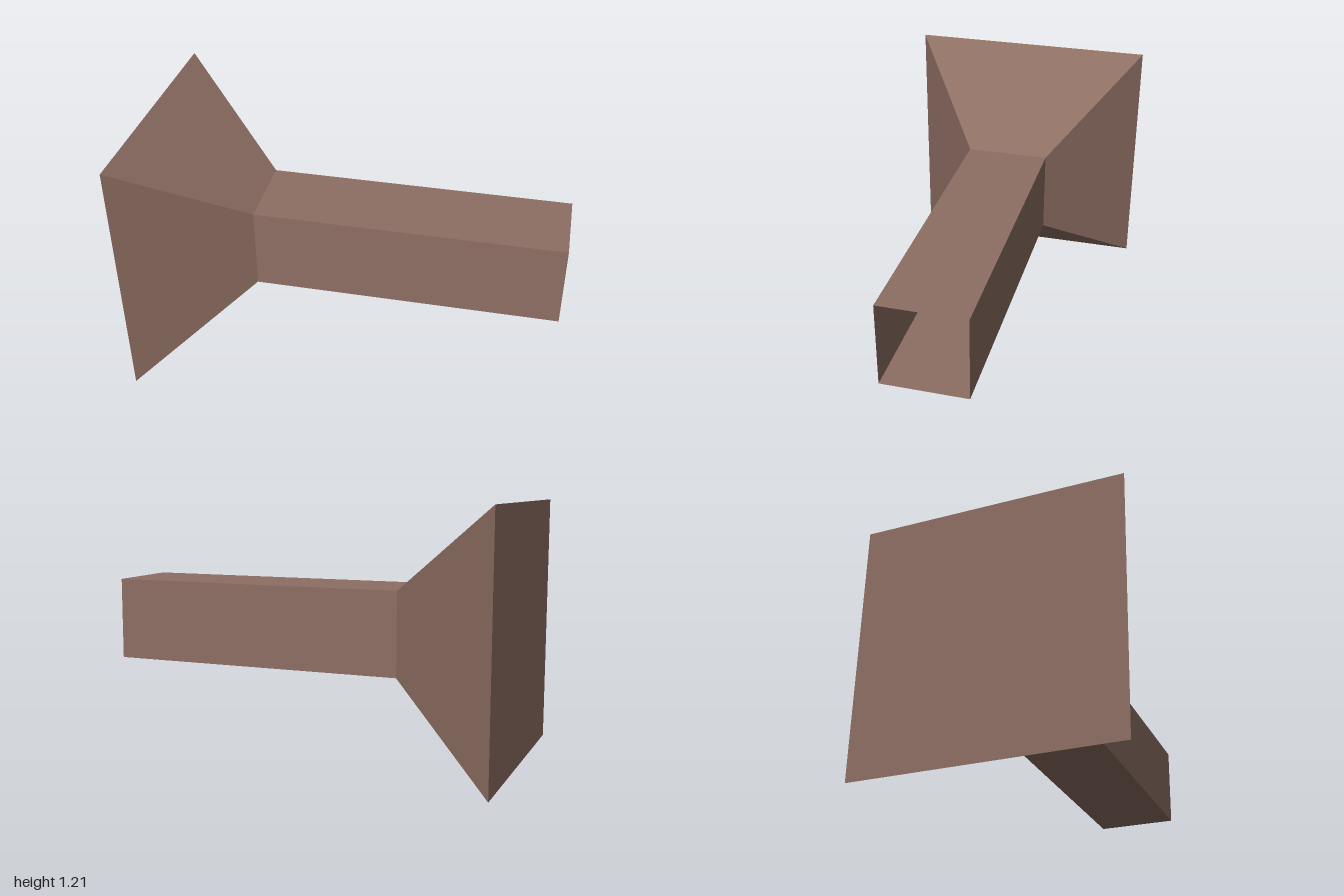
import * as THREE from 'three';

const CENTER_Y = 0.6025;

export function createModel() {
  const group = new THREE.Group();
  group.name = 'flaredDuct';
  const brown = new THREE.MeshStandardMaterial({ color: 0x8d6e63, side: THREE.DoubleSide, flatShading: true });
  brown.name = 'brown';

  const add = (name, geometry, x) => {
    const mesh = new THREE.Mesh(geometry, brown);
    mesh.name = name;
    mesh.position.set(x, CENTER_Y, 0);
    group.add(mesh);
  };

  // Open square sleeve along x, from half-width h0 at x0 to h1 at x1
  const addSleeve = (name, x0, h0, x1, h1) => {
    const geometry = new THREE.CylinderGeometry(h1 * Math.SQRT2, h0 * Math.SQRT2, x1 - x0, 4, 1, true);
    geometry.rotateY(Math.PI / 4).rotateZ(-Math.PI / 2);
    add(name, geometry, (x0 + x1) / 2);
  };

  // Flared base and hollow square tube, open at the far end
  addSleeve('flare', -1, 0.6025, -0.468, 0.201);
  addSleeve('tube', -0.468, 0.201, 1, 0.201);

  // Plate closing the wide end
  add('endPlate', new THREE.PlaneGeometry(1.205, 1.205).rotateY(-Math.PI / 2), -1);

  return group;
}
